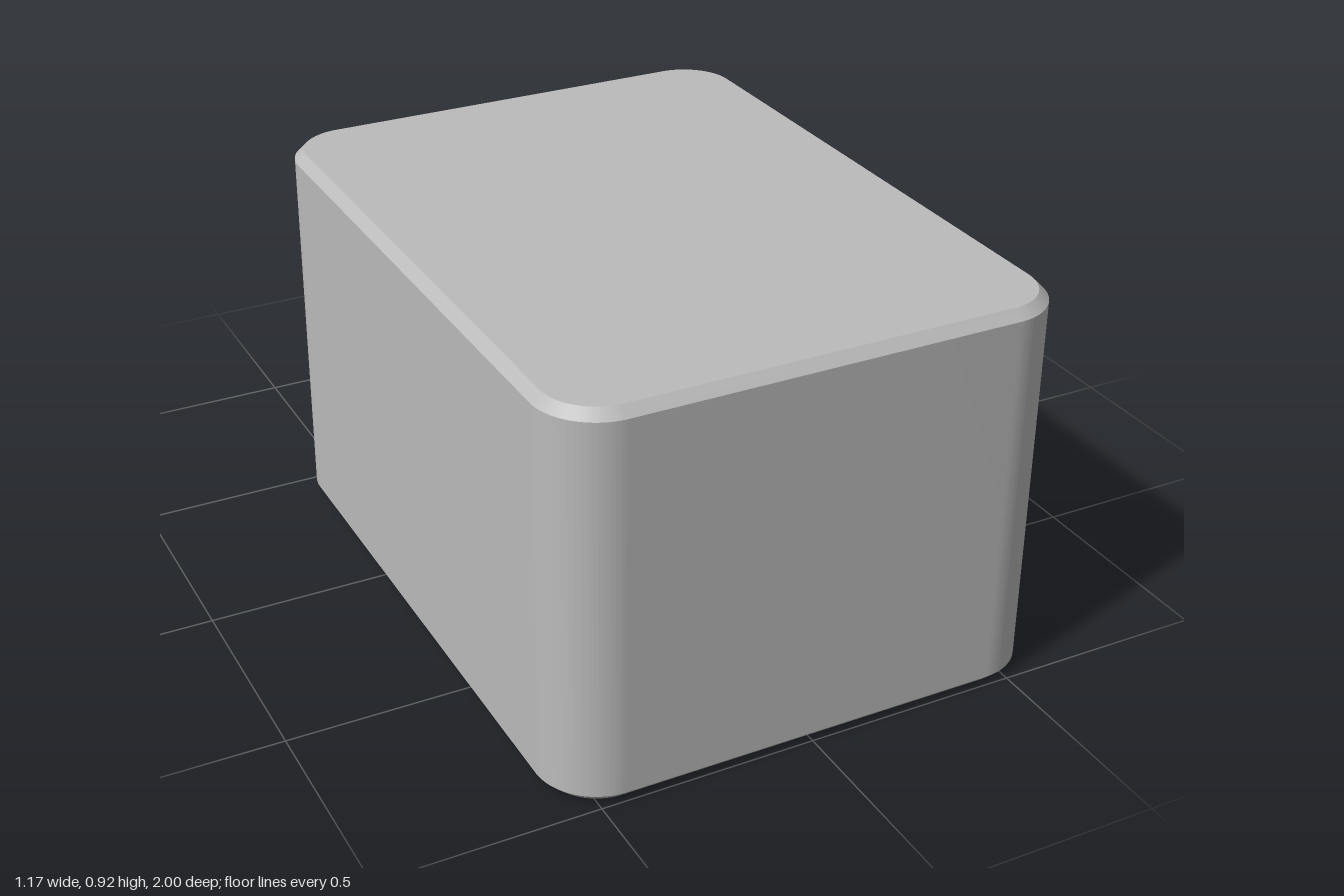
import * as THREE from 'three';
import { toCreasedNormals } from 'three/addons/utils/BufferGeometryUtils.js';

const grey = new THREE.MeshStandardMaterial({ color: 0xbbbbbb });
grey.name = 'grey';

// Plan outlines are drawn with +Y pointing to the back (-z), then stood upright.
function chamferedSlab(name, shape, height, chamfer) {
  const geometry = new THREE.ExtrudeGeometry(shape, {
    depth: height - 2 * chamfer,
    bevelEnabled: true,
    bevelSegments: 1,
    bevelThickness: chamfer,
    bevelSize: chamfer,
    bevelOffset: -chamfer,
    curveSegments: 32,
  });
  geometry.translate(0, 0, chamfer);
  geometry.rotateX(-Math.PI / 2);
  const mesh = new THREE.Mesh(toCreasedNormals(geometry, Math.PI / 6), grey);
  mesh.name = name;
  return mesh;
}

// Rectangle with rounded corners
function bodyOutline(halfWidth, front, back, r) {
  const s = new THREE.Shape();
  s.absarc(halfWidth - r, front + r, r, -Math.PI / 2, 0);
  s.absarc(halfWidth - r, back - r, r, 0, Math.PI / 2);
  s.absarc(-halfWidth + r, back - r, r, Math.PI / 2, Math.PI);
  s.absarc(-halfWidth + r, front + r, r, Math.PI, Math.PI * 1.5);
  s.closePath();
  return s;
}

// Round eye with tangent sides flaring towards the body, and a round hole
function lugOutline(centre, radius, holeRadius, root, flare) {
  const tangentX = radius * Math.cos(flare);
  const tangentY = centre + radius * Math.sin(flare);
  const rootX = tangentX + (tangentY - root) * Math.tan(flare);
  const s = new THREE.Shape();
  s.moveTo(-rootX, root);
  s.lineTo(rootX, root);
  s.absarc(0, centre, radius, flare, Math.PI - flare);
  s.closePath();
  const hole = new THREE.Path();
  hole.absarc(0, centre, holeRadius, 0, Math.PI * 2, true);
  s.holes.push(hole);
  return s;
}

export function createModel() {
  const model = new THREE.Group();
  model.name = 'blockWithLug';
  model.add(chamferedSlab('body', bodyOutline(0.583, -1, 0.555, 0.14), 0.917, 0.022));
  // The lug's root ends just inside the body so the undersides meet flush
  model.add(chamferedSlab('mountingLug', lugOutline(0.725, 0.275, 0.13, 0.517, 0.27), 0.276, 0.016));
  return model;
}
